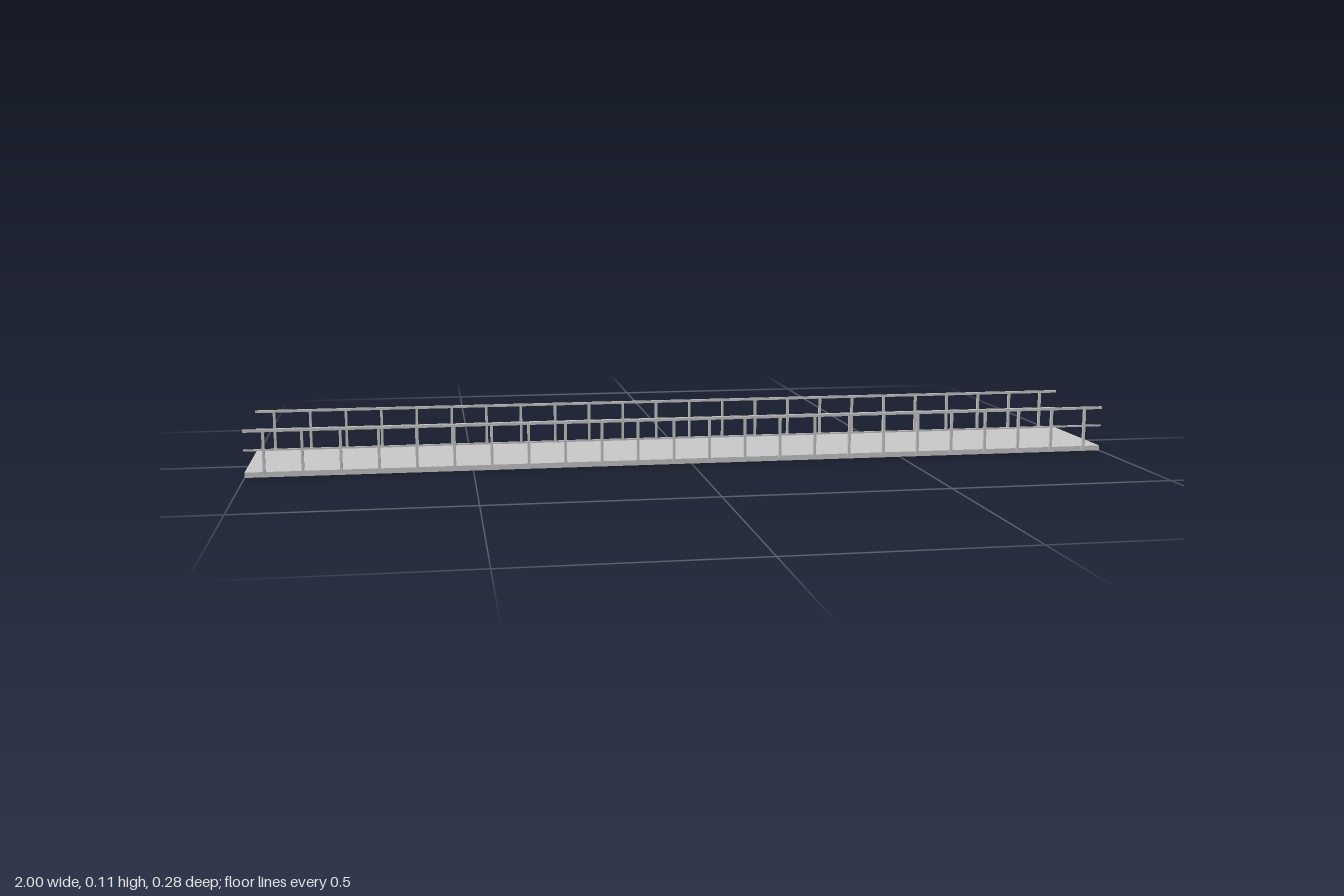
import * as THREE from 'three';

export function createModel() {
  const model = new THREE.Group();
  const material = new THREE.MeshStandardMaterial({ color: 0xcccccc });

  function box(parent, name, size, position) {
    const mesh = new THREE.Mesh(new THREE.BoxGeometry(...size), material);
    mesh.position.set(...position);
    mesh.name = name;
    parent.add(mesh);
  }

  const length = 2, deckHalf = 0.134, deckTop = 0.012;
  const plate = 0.003, frameH = deckTop - plate, edge = 0.014;

  // Deck plate carried by an underside frame
  const deck = new THREE.Group();
  deck.name = 'deck';
  model.add(deck);
  box(deck, 'deckPlate', [length, plate, deckHalf * 2], [0, deckTop - plate / 2, 0]);
  for (const s of [-1, 1]) {
    box(deck, 'sideBeam', [length, frameH, edge], [0, frameH / 2, s * (deckHalf - edge / 2)]);
    box(deck, 'endBeam', [edge, frameH, (deckHalf - edge) * 2], [s * (length / 2 - edge / 2), frameH / 2, 0]);
  }

  // Seven cross beams dividing the underside into eight bays
  for (let i = 1; i < 8; i++) {
    box(deck, 'crossBeam', [0.03, frameH, (deckHalf - edge) * 2], [-1 + i * 0.25, frameH / 2, 0]);
  }

  // Railings fixed to the outside of the deck
  const postCount = 24, postSpan = 1.914, thick = 0.006;
  const bottom = 0.005, top = 0.108;
  for (const s of [-1, 1]) {
    const railing = new THREE.Group();
    railing.name = s > 0 ? 'frontRailing' : 'backRailing';
    railing.position.z = s * (deckHalf + thick / 2);
    model.add(railing);
    box(railing, 'topRail', [length, thick, thick], [0, top - thick / 2, 0]);
    box(railing, 'midRail', [length, 0.004, 0.004], [0, 0.062, 0]);
    const postH = top - thick - bottom;
    for (let i = 0; i < postCount; i++) {
      const x = -postSpan / 2 + (i * postSpan) / (postCount - 1);
      box(railing, 'post', [thick, postH, thick], [x, bottom + postH / 2, 0]);
    }
  }
  return model;
}
